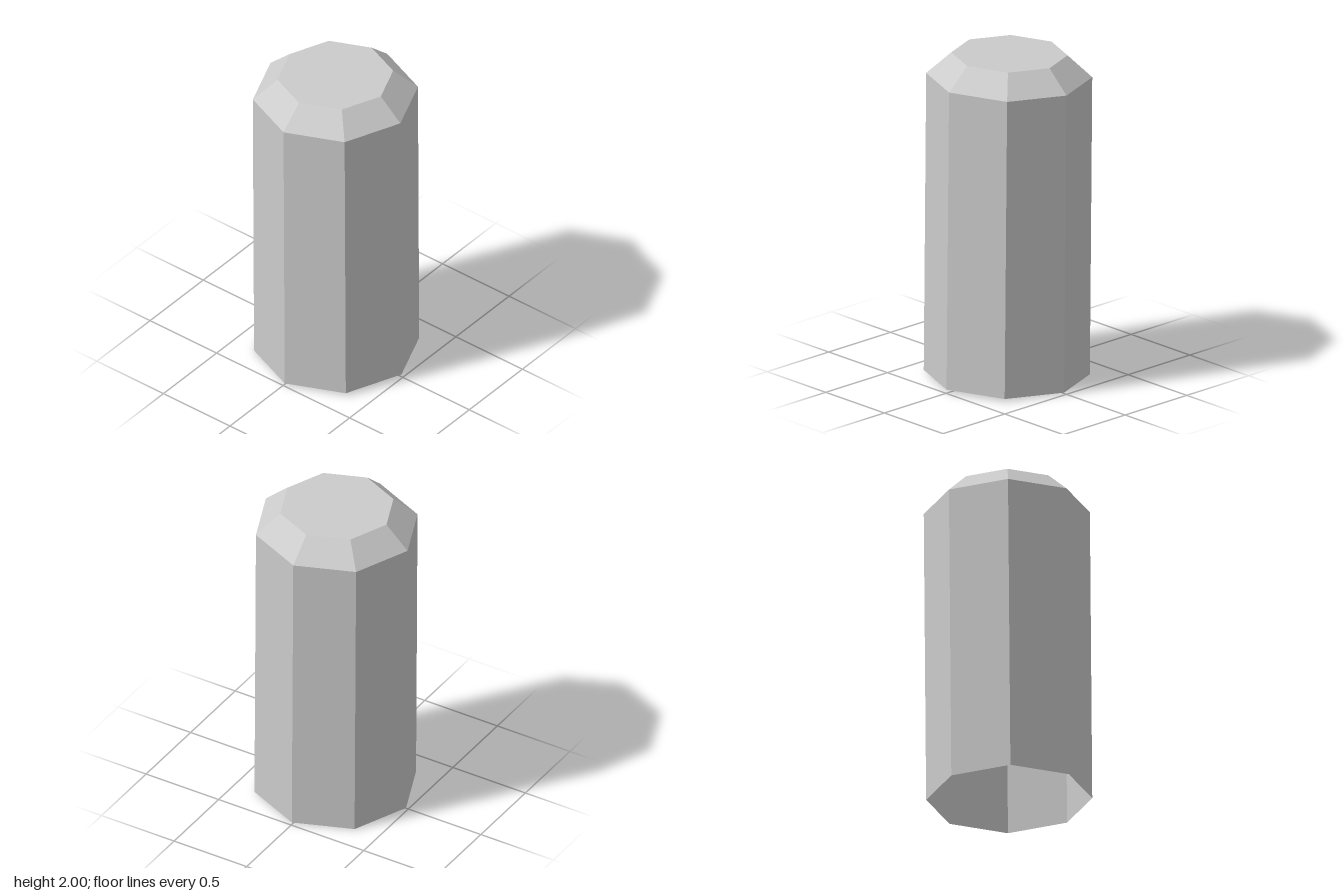
import * as THREE from 'three';

export function createModel() {
  const group = new THREE.Group();
  const material = new THREE.MeshStandardMaterial({
    color: 0xcccccc, flatShading: true, side: THREE.DoubleSide,
  });

  // Eight-sided shell: open bottom, straight wall, bevelled shoulder, flat top
  const profile = [[0.488, 0], [0.488, 1.85], [0.342, 1.982], [0, 1.982]]
    .map(([r, y]) => new THREE.Vector2(r, y));
  const geometry = new THREE.LatheGeometry(profile, 8);

  // Slight lean to the back and left, with the rims sloping along
  const pos = geometry.attributes.position;
  for (let i = 0; i < pos.count; i++) {
    const x = pos.getX(i), y = pos.getY(i), z = pos.getZ(i);
    pos.setXYZ(i,
      x - 0.003 + 0.0033 * y,
      y + 0.011 + 0.021 * z - 0.005 * x,
      z + 0.005 - 0.0075 * y);
  }
  geometry.computeVertexNormals();

  const shell = new THREE.Mesh(geometry, material);
  shell.name = 'octagonalShell';
  group.add(shell);
  return group;
}
